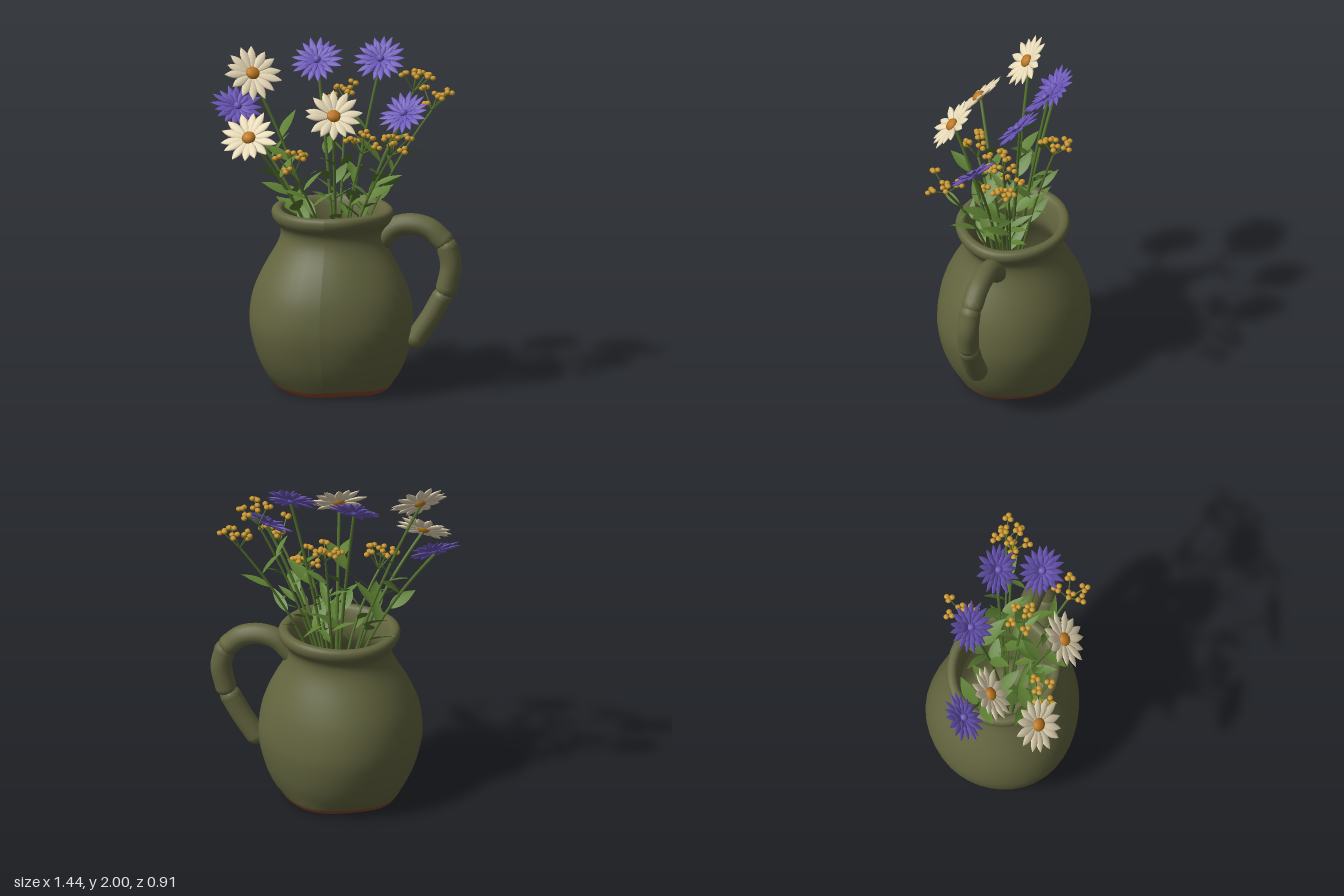
import * as THREE from 'three';
import { mergeGeometries } from 'three/addons/utils/BufferGeometryUtils.js';

const mat = (name, color, side = THREE.FrontSide) => {
  const m = new THREE.MeshStandardMaterial({ color, side });
  m.name = name;
  return m;
};
const V = (x, y, z) => new THREE.Vector3(x, y, z);

export function createModel() {
  const M = {
    glaze: mat('olive glaze', 0x63653f),
    clay: mat('terracotta', 0x86452c),
    stem: mat('stem green', 0x56742f),
    leaf: mat('leaf green', 0x5c7e32, THREE.DoubleSide),
    cream: mat('cream petal', 0xe8dab8),
    violet: mat('violet petal', 0x6b57b8),
    orange: mat('orange centre', 0xbd7820),
    yellow: mat('yellow bud', 0xc8962c),
  };
  let seed = 7;
  const rnd = () => ((seed = (seed * 16807) % 2147483647) / 2147483647);
  const model = new THREE.Group();
  const add = (parent, name, geometry, material) => {
    const m = new THREE.Mesh(geometry, material);
    m.name = name;
    parent.add(m);
    return m;
  };

  // Jug: lathed wall that rolls over the lip and continues inside
  const jug = new THREE.Group();
  jug.name = 'jug';
  model.add(jug);
  const lathe = (pts, sides) => new THREE.LatheGeometry(pts.map(p => new THREE.Vector2(...p)), sides);
  const wobble = g => {
    const p = g.attributes.position;
    for (let i = 0; i < p.count; i++) {
      const a = Math.atan2(p.getX(i), p.getZ(i)), y = p.getY(i);
      const belly = Math.sin(Math.PI * Math.min(1, y / 0.95));
      const k = 1 + 0.024 * belly * Math.cos(3 * a + 2.36) + 0.005 * Math.sin(5 * a - 6 * y);
      const dip = y < 0.06 ? 0.006 * Math.sin(4 * a) : 0.004 * Math.sin(3 * a);
      p.setXYZ(i, p.getX(i) * k - 0.028 - 0.008 * belly, Math.max(0, y + dip),
        p.getZ(i) * k * 0.925 - 0.018 + 0.008 * belly);
    }
    g.computeVertexNormals();
    return g;
  };
  const wall = new THREE.SplineCurve([
    [0.342, 0.04], [0.385, 0.11], [0.425, 0.2], [0.457, 0.32], [0.464, 0.43], [0.44, 0.57],
    [0.385, 0.7], [0.318, 0.82], [0.293, 0.89], [0.3, 0.94], [0.336, 0.985], [0.346, 1.02],
    [0.335, 1.045], [0.305, 1.05], [0.282, 1.03], [0.262, 0.97], [0.255, 0.89], [0.28, 0.82],
    [0.35, 0.7], [0.41, 0.55], [0.42, 0.4], [0.36, 0.18], [0.25, 0.12], [0, 0.11],
  ].map(p => new THREE.Vector2(...p))).getPoints(69).map(p => [Math.max(0, p.x), p.y]);
  add(jug, 'jugBody', wobble(lathe(wall, 40)), M.glaze);
  add(jug, 'unglazedBase', wobble(lathe([[0, 0.025], [0.15, 0.02], [0.26, 0.008], [0.305, 0.006],
    [0.328, 0.018], [0.342, 0.04]], 40)), M.clay);

  // Handle: three rolled clay lengths butted end to end
  const handle = new THREE.Group();
  handle.name = 'handle';
  jug.add(handle);
  const R = 0.061;
  const lengths = [
    [V(0.25, 0.87, -0.02), V(0.33, 0.945, -0.02), V(0.43, 0.968, -0.015), V(0.53, 0.945, -0.01), V(0.605, 0.882, -0.005)],
    [V(0.632, 0.84, 0), V(0.652, 0.74, 0.004), V(0.628, 0.61, 0.012)],
    [V(0.6, 0.55, 0.015), V(0.54, 0.44, 0.02), V(0.458, 0.315, 0.022)],
  ];
  for (const pts of lengths) {
    const g = [new THREE.TubeGeometry(new THREE.CatmullRomCurve3(pts), 16, R, 14)];
    for (const e of [pts[0], pts[pts.length - 1]]) g.push(new THREE.SphereGeometry(R, 14, 10).translate(e.x, e.y, e.z));
    add(handle, 'handleLength', mergeGeometries(g), M.glaze);
  }

  // Leaf: a slightly folded, drooping blade running along +y and facing +z
  const leafBlade = (len, width) => {
    const g = new THREE.PlaneGeometry(1, 1, 2, 7), p = g.attributes.position;
    for (let i = 0; i < p.count; i++) {
      const s = p.getX(i) * 2, t = p.getY(i) + 0.5;
      const w = width / 2 * Math.sin(Math.PI * Math.pow(t, 0.85));
      p.setXYZ(i, s * w, t * len, 0.2 * Math.abs(s) * w - 0.025 * t * t);
    }
    g.computeVertexNormals();
    return g;
  };

  // Petals: flattened spindles set round a ring facing +z
  const petal = (len, width) => {
    const pts = [];
    for (let i = 0; i <= 7; i++) pts.push([width / 2 * Math.sin(Math.PI * Math.pow(i / 7, 1.35)), len * i / 7]);
    return lathe(pts, 8).scale(1, 1, 0.35);
  };
  const ring = (n, len, width, lift, z, turn) => {
    const out = [];
    for (let i = 0; i < n; i++) {
      out.push(petal(len * (0.92 + 0.14 * rnd()), width)
        .rotateX(lift + 0.14 * (rnd() - 0.5))
        .rotateZ((i + turn + 0.25 * (rnd() - 0.5)) / n * Math.PI * 2)
        .translate(0, 0, z));
    }
    return out;
  };

  // Stem curve rising from the jug and fanning out to its tip
  const stemCurve = tip => new THREE.QuadraticBezierCurve3(
    V(tip.x * 0.05, 0.35, tip.z * 0.1), V(tip.x * 0.12, 0.95, tip.z * 0.2), tip);
  const tube = (curve, r) => new THREE.TubeGeometry(curve, 14, r, 6);

  // Leaves alternate around the stem and point up and outwards
  const leaves = (curve, from, to, n, len, width) => {
    const out = [];
    for (let i = 0; i < n; i++) {
      const t = from + (to - from) * (i / (n - 1)), a = i * 2.4 + rnd() * 6.28 / n + curve.v2.x * 5;
      const T = curve.getTangent(t), p = curve.getPoint(t);
      const y = V(Math.cos(a), 0, Math.sin(a)).multiplyScalar(0.78).addScaledVector(T, 0.68).normalize();
      const z = T.clone().addScaledVector(y, -T.dot(y)).normalize();
      const x = y.clone().cross(z);
      const k = 0.8 + 0.35 * rnd();
      out.push(leafBlade(len * k, width * k)
        .applyMatrix4(new THREE.Matrix4().makeBasis(x, y, z).setPosition(p)));
    }
    return mergeGeometries(out);
  };

  // Flowers: kind, head position, facing
  const flowers = [
    ['daisy', V(-0.475, 1.825, 0.055), V(0.36, 0.64, 0.68)],
    ['daisy', V(-0.45, 1.52, 0.335), V(-0.12, 0.7, 0.7)],
    ['daisy', V(0.03, 1.66, 0.32), V(0.25, 0.7, 0.68)],
    ['aster', V(-0.58, 1.595, -0.07), V(0.32, 0.74, 0.58)],
    ['aster', V(-0.14, 1.855, -0.18), V(-0.08, 0.74, 0.66)],
    ['aster', V(0.228, 1.885, -0.145), V(-0.08, 0.72, 0.7)],
    ['aster', V(0.395, 1.625, 0.06), V(-0.28, 0.76, 0.6)],
  ];
  for (const [kind, pos, face] of flowers) {
    const plant = new THREE.Group();
    plant.name = kind;
    model.add(plant);
    const n = face.clone().normalize();
    const curve = stemCurve(pos.clone().addScaledVector(n, -0.012));
    add(plant, 'flowerStem', tube(curve, 0.009), M.stem);
    add(plant, 'broadLeaves', leaves(curve, 0.52, 0.78, 4, 0.2, 0.08), M.leaf);
    const head = new THREE.Group();
    head.name = 'flowerHead';
    head.position.copy(pos);
    head.quaternion.setFromUnitVectors(V(0, 0, 1), n);
    plant.add(head);
    if (kind === 'daisy') {
      add(head, 'petals', mergeGeometries(ring(14, 0.166, 0.052, 0.08, 0, 0)), M.cream);
      add(head, 'flowerCentre', new THREE.SphereGeometry(0.041, 9, 7).scale(1, 0.94, 0.65).translate(0, 0, 0.01), M.orange);
    } else {
      add(head, 'petals', mergeGeometries([...ring(17, 0.15, 0.037, 0.06, 0, 0),
        ...ring(13, 0.105, 0.03, 0.25, 0.005, 0.5)]), M.violet);
      add(head, 'flowerCentre', new THREE.SphereGeometry(0.024, 12, 8).translate(0, 0, 0.012), M.violet);
    }
  }

  // Sprigs: a stem that branches into small triple buds
  const sprigs = [V(-0.22, 1.37, 0.27), V(0.37, 1.51, 0.25), V(0.16, 1.46, 0.04),
    V(0.44, 1.79, -0.13), V(0.54, 1.67, -0.2), V(0.01, 1.67, -0.29)];
  for (const c of sprigs) {
    const sprig = new THREE.Group();
    sprig.name = 'budSprig';
    model.add(sprig);
    const node = V(c.x * 0.95, c.y - 0.08, c.z * 0.95);
    const curve = stemCurve(node);
    const stalks = [tube(curve, 0.007)], buds = [];
    for (let i = 0; i < 5; i++) {
      const a = i * 1.257 + c.x * 9, r = i ? 0.065 + 0.025 * rnd() : 0.015;
      const tip = V(c.x + r * Math.cos(a), c.y + 0.08 * (rnd() - 0.5) + (i ? 0 : 0.02), c.z + r * Math.sin(a));
      stalks.push(new THREE.TubeGeometry(new THREE.LineCurve3(node, tip), 1, 0.004, 5));
      for (let j = 0; j < 3; j++) {
        const b = j * 2.094 + a;
        buds.push(new THREE.SphereGeometry(0.017, 8, 6).scale(1, 0.85, 1)
          .translate(tip.x + 0.018 * Math.cos(b), tip.y + 0.008 * (j - 0.5), tip.z + 0.018 * Math.sin(b)));
      }
    }
    add(sprig, 'sprigStalks', mergeGeometries(stalks), M.stem);
    add(sprig, 'buds', mergeGeometries(buds), M.yellow);
    add(sprig, 'narrowLeaves', leaves(curve, 0.52, 0.86, 6, 0.17, 0.045), M.leaf);
  }
  return model;
}
